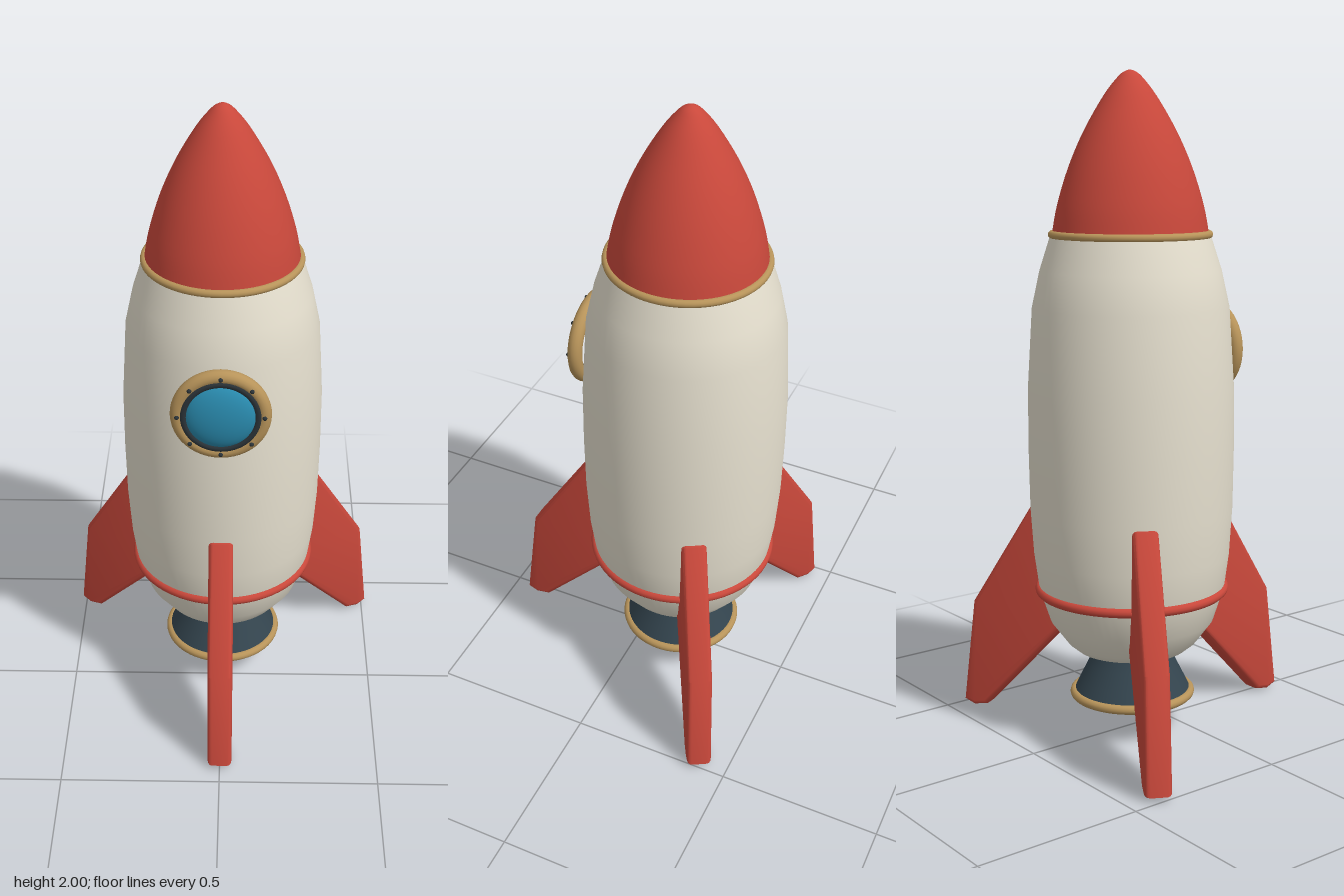
import * as THREE from 'three';
import { toCreasedNormals } from 'three/addons/utils/BufferGeometryUtils.js';

const mat = (color, side = THREE.FrontSide) => new THREE.MeshStandardMaterial({ color, side });
const cream = mat(0xe6e0cf);
const red = mat(0xc9483b);
const brass = mat(0xb8945a);
const steel = mat(0x34454f, THREE.DoubleSide);
const dark = mat(0x2b3338);
const blue = mat(0x2a8cb0);

function add(parent, name, geometry, material, x = 0, y = 0, z = 0) {
  const mesh = new THREE.Mesh(geometry, material);
  mesh.name = name;
  mesh.position.set(x, y, z);
  parent.add(mesh);
  return mesh;
}

const points = (list) => list.map(([x, y]) => new THREE.Vector2(x, y));
const lathe = (list, segments = 64) => new THREE.LatheGeometry(points(list), segments);

// Horizontal hoop around the rocket axis
function hoop(parent, name, y, radius, tube, material) {
  const mesh = add(parent, name, new THREE.TorusGeometry(radius, tube, 12, 64), material, 0, y, 0);
  mesh.rotation.x = Math.PI / 2;
}

// Swept fin with rounded edges, lying in the plane of the axis and pointing to +z
function finGeometry() {
  const outline = points([[0.22, 0.7], [0.315, 0.7], [0.535, 0.35], [0.576, 0.015], [0.54, 0], [0.495, 0.008], [0.23, 0.29], [0.15, 0.37]]);
  const bevel = 0.014, width = 0.076;
  const geometry = new THREE.ExtrudeGeometry(new THREE.Shape(outline), {
    depth: width - 2 * bevel, bevelEnabled: true, bevelThickness: bevel,
    bevelSize: bevel, bevelOffset: -bevel, bevelSegments: 3,
  });
  geometry.translate(0, 0, bevel - width / 2);
  geometry.rotateY(-Math.PI / 2);
  return toCreasedNormals(geometry, 0.6);
}

export function createModel() {
  const rocket = new THREE.Group();
  rocket.name = 'rocket';

  // Everything round shares an axis set back from the centre
  const body = new THREE.Group();
  body.name = 'body';
  body.position.z = -0.13;
  rocket.add(body);

  // Hull and nose
  add(body, 'hull', lathe([
    [0, 0.257], [0.15, 0.257], [0.172, 0.26], [0.2, 0.283], [0.25, 0.35], [0.283, 0.45], [0.298, 0.56],
    [0.307, 0.7], [0.31, 0.88], [0.309, 1.07], [0.294, 1.31], [0.27, 1.42], [0.238, 1.52],
  ]), cream);
  const noseCurve = new THREE.SplineCurve(points([
    [0.232, 1.525], [0.216, 1.61], [0.182, 1.72], [0.136, 1.825], [0.078, 1.925], [0.035, 1.98], [0.014, 1.996], [0, 2],
  ]));
  add(body, 'noseCone', new THREE.LatheGeometry(noseCurve.getPoints(28), 64), red);
  hoop(body, 'noseRing', 1.525, 0.232, 0.012, brass);
  hoop(body, 'lowerBand', 0.45, 0.281, 0.015, red);

  // Engine bell, open underneath
  add(body, 'nozzle', lathe([[0.182, 0.115], [0.16, 0.16], [0.135, 0.21], [0.118, 0.25], [0.11, 0.28]]), steel);
  hoop(body, 'nozzleRim', 0.115, 0.178, 0.014, brass);

  // Three fins, one facing the front
  const fin = finGeometry();
  ['frontFin', 'leftFin', 'rightFin'].forEach((name, i) => {
    add(body, name, fin, red).rotation.y = (i * Math.PI * 2) / 3;
  });

  // Porthole: frame, gasket, domed glass and rivets
  const porthole = new THREE.Group();
  porthole.name = 'porthole';
  porthole.position.set(0, 1.17, 0.175);
  rocket.add(porthole);
  add(porthole, 'portholeFrame', new THREE.TorusGeometry(0.127, 0.022, 16, 48), brass);
  add(porthole, 'gasket', new THREE.TorusGeometry(0.11, 0.012, 10, 48), dark, 0, 0, 0.012);
  const glass = add(porthole, 'glass', new THREE.SphereGeometry(0.11, 40, 12, 0, Math.PI * 2, 0, Math.PI / 2), blue, 0, 0, 0.004);
  glass.rotation.x = Math.PI / 2;
  glass.scale.y = 0.37;
  const rivet = new THREE.SphereGeometry(0.007, 10, 8);
  for (let i = 0; i < 8; i++) {
    const a = (i * Math.PI) / 4;
    add(porthole, 'rivet', rivet, dark, 0.128 * Math.cos(a), 0.128 * Math.sin(a), 0.021);
  }

  return rocket;
}
